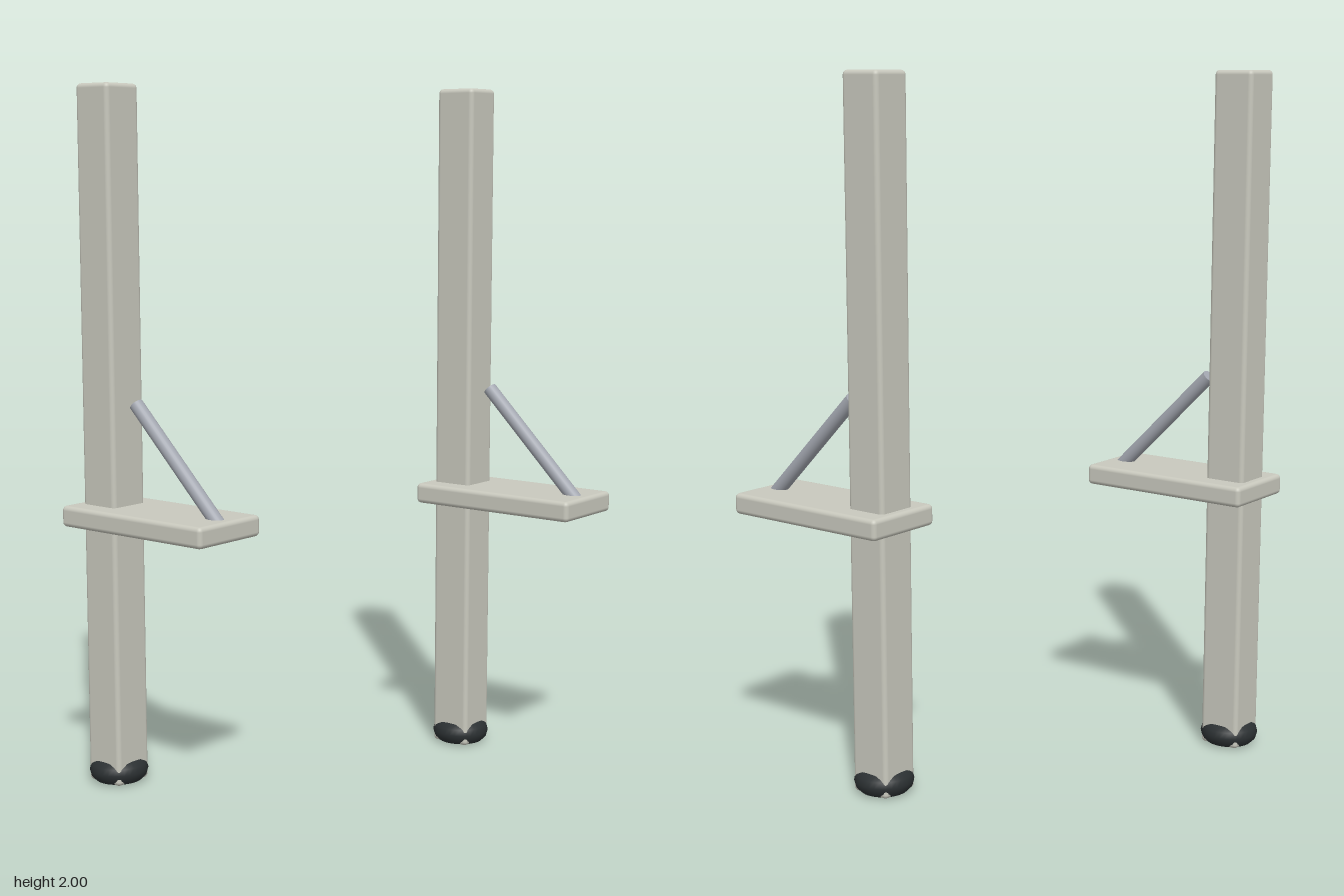
import * as THREE from 'three';
import { RoundedBoxGeometry } from 'three/addons/geometries/RoundedBoxGeometry.js';

const wood = new THREE.MeshStandardMaterial({ color: 0xc8c8bd });
const steel = new THREE.MeshStandardMaterial({ color: 0xa3a7b0 });
const rubber = new THREE.MeshStandardMaterial({ color: 0x2b3032 });

function addPart(parent, name, geometry, material, x, y, z) {
  const mesh = new THREE.Mesh(geometry, material);
  mesh.name = name;
  mesh.position.set(x, y, z);
  parent.add(mesh);
  return mesh;
}

// One stilt, with its post standing on the local origin
function createStilt(name) {
  const stilt = new THREE.Group();
  stilt.name = name;

  // Tall square post with softened edges
  addPart(stilt, 'post', new RoundedBoxGeometry(0.124, 1.997, 0.124, 3, 0.013), wood, 0, 1.0015, 0);

  // Foot plate, reaching forward from the post
  addPart(stilt, 'footPlate', new RoundedBoxGeometry(0.248, 0.06, 0.534, 3, 0.013), wood, 0, 0.79, 0.179);

  // Slanted rod, sunk into the plate at its lower end
  const low = new THREE.Vector3(0, 0.795, 0.412);
  const high = new THREE.Vector3(0, 1.112, 0.095);
  const span = high.clone().sub(low);
  const rod = addPart(stilt, 'braceRod', new THREE.CylinderGeometry(0.0205, 0.0205, span.length(), 24), steel, 0, 0, 0);
  rod.position.copy(low).add(high).multiplyScalar(0.5);
  rod.quaternion.setFromUnitVectors(new THREE.Vector3(0, 1, 0), span.normalize());

  // Rubber ring around the bottom of the post
  const ring = new THREE.TorusGeometry(0.05, 0.035, 12, 32).rotateX(Math.PI / 2);
  addPart(stilt, 'rubberFoot', ring, rubber, 0, 0.035, 0);
  return stilt;
}

export function createModel() {
  const model = new THREE.Group();
  model.name = 'stilts';

  // The left stilt stands a step ahead of the right one
  const left = createStilt('leftStilt');
  left.position.set(0.464, 0, 0.105);
  const right = createStilt('rightStilt');
  right.position.set(-0.464, 0, -0.465);
  model.add(left, right);
  return model;
}
